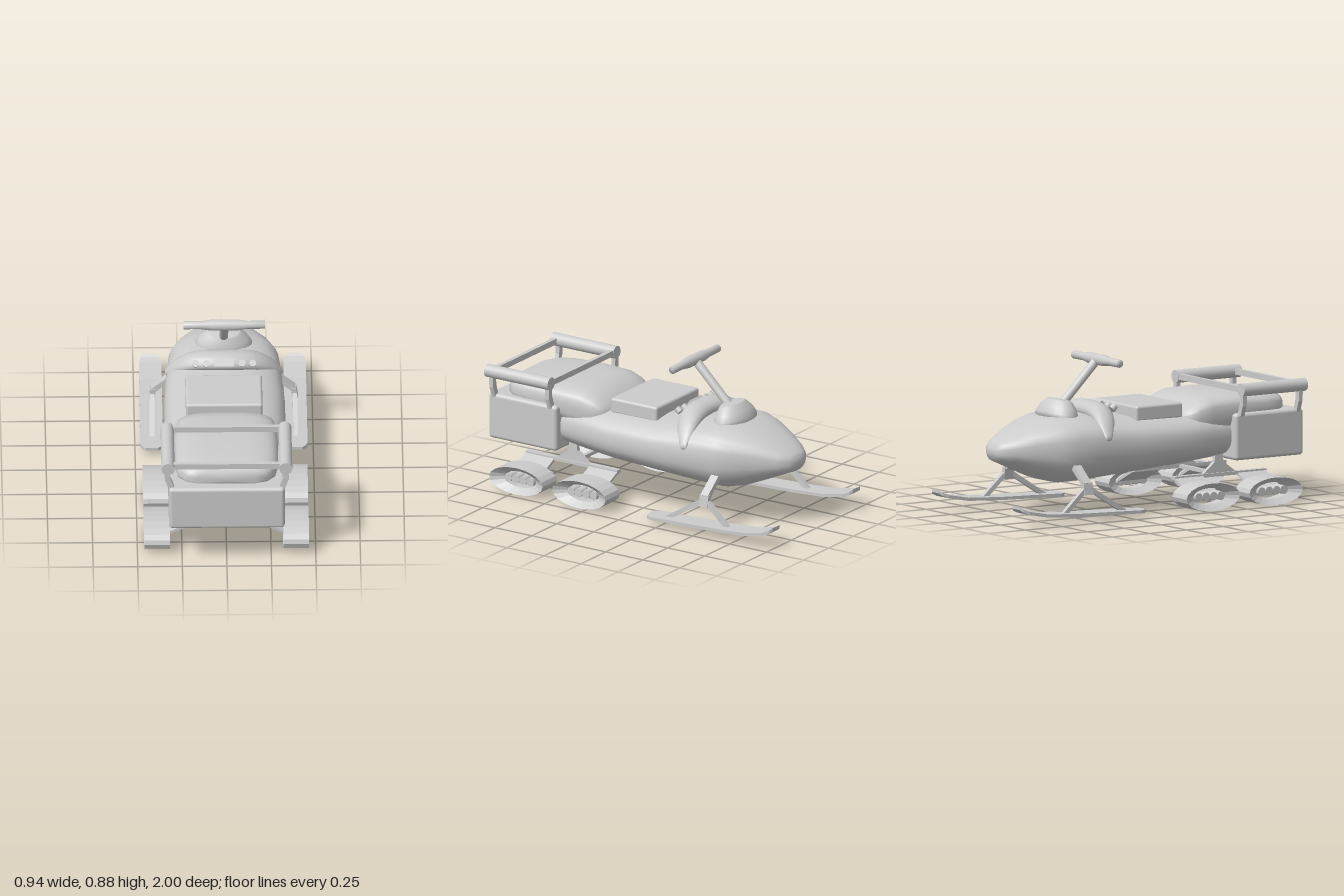
import * as THREE from 'three';
import { RoundedBoxGeometry } from 'three/addons/geometries/RoundedBoxGeometry.js';

const smooth = new THREE.MeshStandardMaterial({ color: 0xcccccc });
const faceted = new THREE.MeshStandardMaterial({ color: 0xcccccc, flatShading: true });
const UP = new THREE.Vector3(0, 1, 0);
const V = (x, y, z) => new THREE.Vector3(x, y, z);

// Skin closed rings of points and cap both ends
function skin(rings) {
  const n = rings[0].length, pos = [], idx = [];
  rings.forEach(r => r.forEach(p => pos.push(p.x, p.y, p.z)));
  for (let i = 0; i < rings.length - 1; i++) {
    for (let j = 0; j < n; j++) {
      const a = i * n + j, b = i * n + (j + 1) % n;
      idx.push(a, b, b + n, a, b + n, a + n);
    }
  }
  [0, rings.length - 1].forEach(e => {
    const c = rings[e].reduce((s, p) => s.add(p), V(0, 0, 0)).divideScalar(n);
    const k = pos.length / 3;
    pos.push(c.x, c.y, c.z);
    for (let j = 0; j < n; j++) {
      const a = e * n + j, b = e * n + (j + 1) % n;
      if (e === 0) idx.push(k, b, a); else idx.push(k, a, b);
    }
  });
  const g = new THREE.BufferGeometry();
  g.setAttribute('position', new THREE.Float32BufferAttribute(pos, 3));
  g.setIndex(idx);
  g.computeVertexNormals();
  return g;
}

// Rounded hull from stations [z, half width, top, bottom, height of widest line]
function hull(stations, topPower, lowPower, n = 32) {
  return skin(stations.map(([z, w, top, bot, mid]) => Array.from({ length: n }, (_, j) => {
    const a = j / n * Math.PI * 2, c = Math.cos(a), s = Math.sin(a);
    const p = 2 / (s > 0 ? topPower : lowPower);
    const h = s > 0 ? top - mid : mid - bot;
    return V(Math.sign(c) * Math.abs(c) ** p * w, mid + Math.sign(s) * Math.abs(s) ** p * h, z);
  })));
}

export function createModel() {
  const model = new THREE.Group();
  const add = (name, geo, mat = smooth, x = 0, y = 0, z = 0) => {
    const m = new THREE.Mesh(geo, mat);
    m.name = name;
    m.position.set(x, y, z);
    model.add(m);
    return m;
  };
  // Straight member between two points: square, or round when d is omitted
  const bar = (name, a, b, w, d) => {
    const dir = b.clone().sub(a), len = dir.length();
    const geo = d ? new THREE.BoxGeometry(w, len, d) : new THREE.CylinderGeometry(w, w, len, 20);
    const m = add(name, geo);
    m.position.copy(a).add(b).multiplyScalar(0.5);
    m.quaternion.setFromUnitVectors(UP, dir.normalize());
    return m;
  };

  // Main body and rear cushion
  add('body', hull([
    [-0.89, 0.05, 0.40, 0.35, 0.375], [-0.87, 0.09, 0.43, 0.32, 0.38],
    [-0.82, 0.14, 0.455, 0.30, 0.38], [-0.72, 0.2, 0.505, 0.255, 0.385],
    [-0.6, 0.27, 0.545, 0.205, 0.39], [-0.5, 0.31, 0.567, 0.18, 0.39],
    [-0.35, 0.325, 0.562, 0.185, 0.39], [-0.1, 0.34, 0.535, 0.205, 0.38],
    [0.2, 0.34, 0.53, 0.225, 0.38], [0.4, 0.31, 0.53, 0.24, 0.38],
    [0.55, 0.28, 0.52, 0.252, 0.38], [0.7, 0.26, 0.5, 0.27, 0.38]], 2.7, 2.4));
  add('rearCushion', hull([
    [0.25, 0.2, 0.525, 0.44, 0.48], [0.29, 0.25, 0.56, 0.4, 0.49],
    [0.34, 0.275, 0.6, 0.37, 0.5], [0.42, 0.285, 0.625, 0.36, 0.52],
    [0.6, 0.292, 0.628, 0.4, 0.53], [0.78, 0.29, 0.62, 0.45, 0.53],
    [0.87, 0.275, 0.61, 0.48, 0.53], [0.92, 0.23, 0.597, 0.49, 0.53],
    [0.94, 0.17, 0.58, 0.5, 0.53]], 3.2, 3));
  add('seatPad', new RoundedBoxGeometry(0.43, 0.09, 0.315, 3, 0.015), smooth, -0.005, 0.55, 0.095);
  add('cargoBox', new RoundedBoxGeometry(0.65, 0.265, 0.46, 3, 0.02), smooth, 0, 0.383, 0.77);

  // Dashboard arching over the body
  const dash = [];
  for (let i = 0; i <= 20; i++) {
    const u = -Math.cos(i / 20 * Math.PI), k = 1 - 0.75 * u ** 4;
    dash.push(Array.from({ length: 16 }, (_, j) => {
      const a = j / 16 * Math.PI * 2;
      return V(0.33 * u, 0.573 - 0.13 * Math.abs(u) ** 3 + 0.05 * k * Math.cos(a),
        -0.24 - 0.08 * u * u + 0.075 * k * Math.sin(a));
    }));
  }
  add('dashboard', skin(dash));
  [-0.16, -0.1, 0.1, 0.16].forEach(x => {
    const k = add('dashKnob', new THREE.CylinderGeometry(0.02, 0.02, 0.03, 16), smooth, x, 0.59, -0.178);
    k.rotation.x = 0.9;
  });
  add('dashScreen', new THREE.BoxGeometry(0.11, 0.03, 0.045), smooth, 0, 0.594, -0.182).rotation.x = 0.9;

  // Steering pod, column and handlebar
  const pod = add('steeringPod', new THREE.LatheGeometry([
    [0, -0.04], [0.165, -0.04], [0.16, 0.0], [0.14, 0.035], [0.1, 0.075], [0.085, 0.083], [0, 0.085]
  ].map(p => new THREE.Vector2(...p)), 28), smooth, 0, 0.56, -0.45);
  pod.scale.z = 0.62;
  pod.rotation.x = 0.2;
  bar('steeringColumn', V(0, 0.6, -0.43), V(0, 0.845, -0.18), 0.025);
  const grip = add('handlebar', new THREE.LatheGeometry([
    [0, -0.228], [0.023, -0.228], [0.023, -0.13], [0.032, -0.07], [0.032, 0.07], [0.023, 0.13], [0.023, 0.228], [0, 0.228]
  ].map(p => new THREE.Vector2(...p)), 16), smooth, 0, 0.847, -0.18);
  grip.rotation.z = Math.PI / 2;

  // Rack cross bars
  [0.585, 0.965].forEach(z => bar('rackCrossBar', V(-0.33, 0.652, z), V(0.33, 0.652, z), 0.033, 0.025));

  // Track ring profile: wide outer band tapering inward
  const ring = new THREE.LatheGeometry([
    [0.6, -0.03], [1, -0.072], [1, 0.072], [0.6, 0.03], [0.6, -0.03]
  ].map(p => new THREE.Vector2(...p)), 20);
  ring.rotateZ(Math.PI / 2);
  ring.scale(1, 0.079, 0.18);

  const bracket = new THREE.ExtrudeGeometry(new THREE.Shape([
    [0.39, 0.165], [0.63, 0.165], [0.535, 0.235], [0.53, 0.28], [0.48, 0.28], [0.475, 0.235]
  ].map(p => new THREE.Vector2(...p))), { depth: 0.025, bevelEnabled: false });
  bracket.translate(0, 0, -0.0125).rotateY(-Math.PI / 2);

  for (const s of [-1, 1]) {
    // Rack rail and its bent posts
    bar('rackRail', V(s * 0.33, 0.65, 0.57), V(s * 0.33, 0.65, 1.0), 0.037);
    [0.585, 0.963].forEach(z => {
      bar('rackPostUpper', V(s * 0.334, 0.65, z), V(s * 0.332, 0.56, z), 0.032, 0.026);
      bar('rackPostLower', V(s * 0.332, 0.57, z), V(s * 0.305, 0.49, z), 0.032, 0.026);
    });

    // Ski with rounded ends and upturned tip
    add('ski', skin([
      [-1, 0.035, 0.117], [-0.985, 0.052, 0.103], [-0.95, 0.063, 0.088], [-0.82, 0.063, 0.063],
      [-0.6, 0.063, 0.05], [-0.19, 0.063, 0.038], [-0.165, 0.052, 0.038], [-0.15, 0.035, 0.038]
    ].map(([z, w, y]) => [[-w, -0.009], [w, -0.009], [w, 0.009], [-w, 0.009]]
      .map(([dx, dy]) => V(s * 0.405 + dx, y + dy, z)))), faceted);

    // Ski suspension: arm to the body and forked legs
    bar('skiArm', V(s * 0.29, 0.295, -0.515), V(s * 0.4, 0.205, -0.515), 0.03, 0.05);
    bar('skiKnuckle', V(s * 0.393, 0.218, -0.515), V(s * 0.403, 0.15, -0.515), 0.03, 0.06);
    bar('skiLegRear', V(s * 0.4, 0.185, -0.5), V(s * 0.403, 0.04, -0.27), 0.026, 0.026);
    bar('skiLegFront', V(s * 0.4, 0.185, -0.53), V(s * 0.403, 0.05, -0.68), 0.026, 0.026);

    // Rear undercarriage beam and bracket
    add('trackBracket', bracket, smooth, s * 0.195, 0, 0);
    add('trackBeam', new THREE.BoxGeometry(0.035, 0.02, 0.62), smooth, s * 0.2, 0.165, 0.51);

    // Two oval tracks per side, each with a sloping carrier plate and rollers
    for (const z of [0.295, 0.72]) {
      add('track', ring, faceted, s * 0.39, 0.081, z);
      bar('trackPlate', V(s * 0.2, 0.165, z), V(s * 0.375, 0.08, z), 0.016, 0.19);
      for (let i = 0; i < 4; i++) {
        const r = add('trackRoller', new THREE.CylinderGeometry(0.025, 0.025, 0.08, 16),
          smooth, s * 0.39, 0.081, z + (i - 1.5) * 0.05);
        r.rotation.z = Math.PI / 2;
      }
    }
  }
  bar('undercarriageCrossBar', V(-0.2, 0.165, 0.51), V(0.2, 0.165, 0.51), 0.02, 0.025);

  return model;
}
